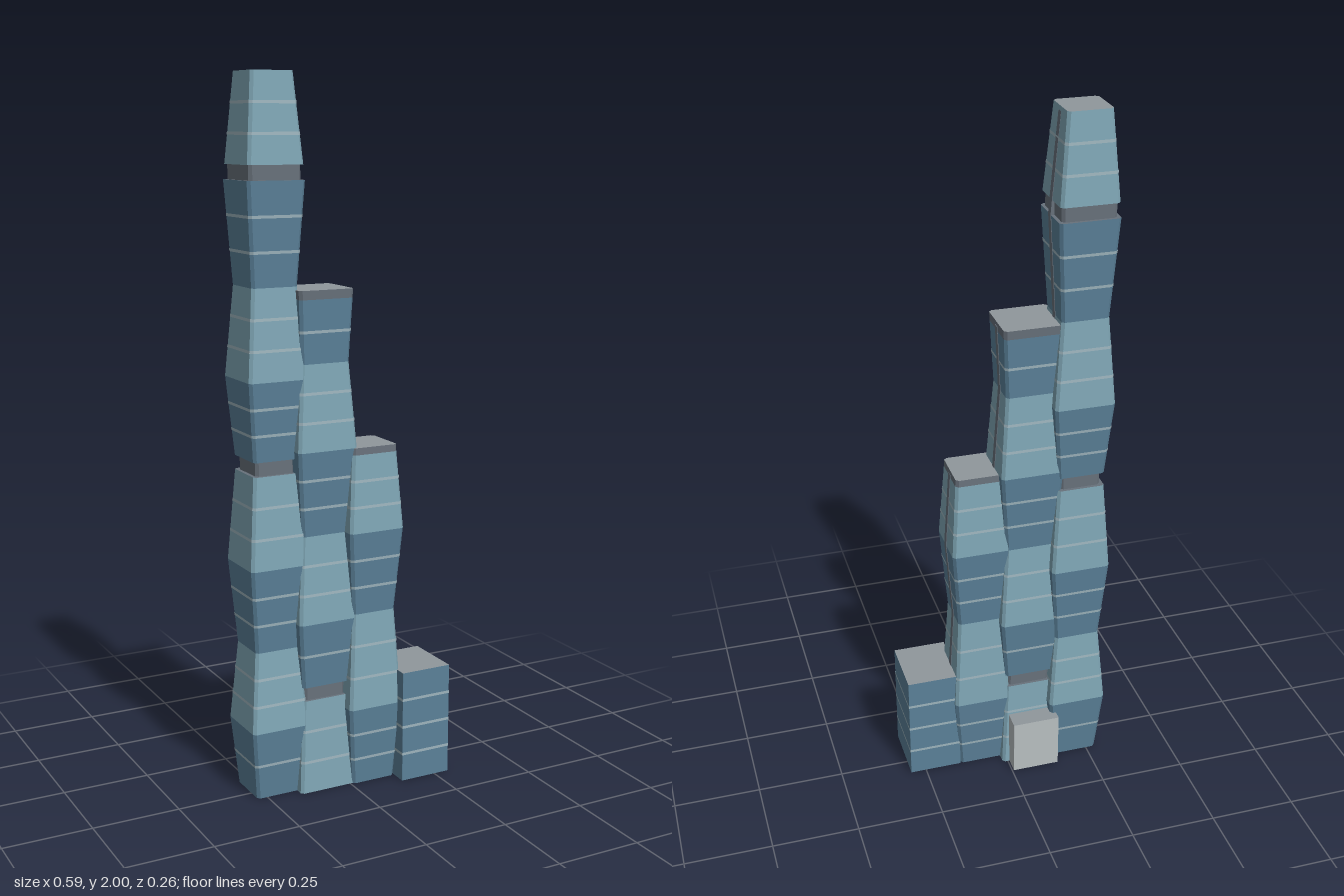
import * as THREE from 'three';
import { mergeGeometries } from 'three/addons/utils/BufferGeometryUtils.js';

const material = (color) => new THREE.MeshStandardMaterial({ color, flatShading: true, side: THREE.DoubleSide });
const MATS = {
  darkGlass: material(0x5b8199),
  lightGlass: material(0x7fa6b5),
  recess: material(0x68717b),
  roof: material(0x90979c),
  floorLine: material(0x9db4bd),
  paleWall: material(0xb9c0c2),
};

// Chamfered rectangle, counter-clockwise seen from above
function section(hx, hz, c) {
  return [
    [hx, hz - c], [hx, c - hz], [hx - c, -hz], [c - hx, -hz],
    [-hx, c - hz], [-hx, hz - c], [c - hx, hz], [hx - c, hz],
  ];
}

// Wall between two cross-sections
function loft(y0, ring0, y1, ring1) {
  const pos = [];
  ring0.forEach((a, i) => {
    const j = (i + 1) % ring0.length;
    const p = [a[0], y0, a[1]], q = [ring0[j][0], y0, ring0[j][1]];
    const r = [ring1[j][0], y1, ring1[j][1]], s = [ring1[i][0], y1, ring1[i][1]];
    pos.push(...p, ...q, ...r, ...p, ...r, ...s);
  });
  const g = new THREE.BufferGeometry();
  g.setAttribute('position', new THREE.Float32BufferAttribute(pos, 3));
  g.computeVertexNormals();
  return g;
}

function cap(y, ring) {
  const shape = new THREE.Shape(ring.map(([x, z]) => new THREE.Vector2(x, -z)));
  return new THREE.ShapeGeometry(shape).rotateX(-Math.PI / 2).translate(0, y, 0);
}

// Profile rows: [height, half width, material of the wall up to the next row]
function tower(name, x, z, dz, chamfer, profile, strip) {
  const group = new THREE.Group();
  group.name = name;
  group.position.set(x, 0, z);
  const parts = {};
  const add = (key, g) => (parts[key] ??= []).push(g);
  const ring = (h, grow = 0) => section(h + grow, h + dz + grow, chamfer);

  for (let i = 0; i < profile.length - 1; i++) {
    const [y0, h0, key] = profile[i];
    const [y1, h1] = profile[i + 1];
    add(key, loft(y0, ring(h0), y1, ring(h1)));
    if (!key.endsWith('Glass')) continue;
    // Thin floor lines spaced over each glass storey block
    const n = Math.max(2, Math.round((y1 - y0) / 0.083));
    for (let k = 1; k < n; k++) {
      const at = (y) => ring(h0 + (h1 - h0) * (y - y0) / (y1 - y0), 0.0008);
      const y = y0 + (y1 - y0) * k / n;
      add('floorLine', loft(y - 0.004, at(y - 0.004), y + 0.004, at(y + 0.004)));
    }
  }
  const [top, half] = profile[profile.length - 1];
  add('roof', cap(top, ring(half)));

  for (const key in parts) {
    const mesh = new THREE.Mesh(mergeGeometries(parts[key].map((g) => {
      const flat = g.index ? g.toNonIndexed() : g;
      flat.deleteAttribute('uv');
      return flat;
    })), MATS[key]);
    mesh.name = key;
    group.add(mesh);
  }

  // Vertical service strip that follows the +x facade
  if (strip) {
    const line = profile.filter((p, i) => p[2] !== 'recess' || profile[i - 1]?.[2] !== 'recess');
    const outer = line.map(([y, h]) => new THREE.Vector2(h + 0.0015, Math.min(y, top - 0.012)));
    const inner = line.map(([y, h]) => new THREE.Vector2(h - 0.012, Math.min(y, top - 0.012))).reverse();
    const g = new THREE.ExtrudeGeometry(new THREE.Shape([...outer, ...inner]), { depth: 0.02, bevelEnabled: false });
    const mesh = new THREE.Mesh(g.translate(0, 0, -0.01), MATS.recess);
    mesh.name = 'serviceStrip';
    group.add(mesh);
  }
  return group;
}

export function createModel() {
  const model = new THREE.Group();
  model.name = 'steppedTower';
  const D = 'darkGlass', L = 'lightGlass', R = 'recess';

  // Tall tower with two recessed storeys
  model.add(tower('tallTower', -0.211, -0.023, 0, 0.008, [
    [0, 0.068, D], [0.2, 0.086, L], [0.43, 0.067, D], [0.67, 0.086, L],
    [0.93, 0.068, R], [0.93, 0.058, R], [0.97, 0.058, R], [0.97, 0.068, D],
    [1.19, 0.086, L], [1.44, 0.067, D],
    [1.72, 0.084, R], [1.72, 0.075, R], [1.76, 0.075, R], [1.76, 0.081, L], [2, 0.061],
  ], true));

  // Middle tower with one recessed storey
  model.add(tower('middleTower', -0.07, -0.005, -0.006, 0.008, [
    [0, 0.086, L], [0.27, 0.071, R], [0.27, 0.063, R], [0.31, 0.063, R], [0.31, 0.073, D],
    [0.5, 0.089, L], [0.75, 0.072, D], [0.99, 0.09, L], [1.23, 0.073, D],
    [1.405, 0.081, R], [1.43, 0.082],
  ], true));

  // Low tower
  model.add(tower('lowTower', 0.073, 0.014, 0, 0.008, [
    [0, 0.067, D], [0.23, 0.084, L], [0.51, 0.067, D], [0.75, 0.085, L],
    [0.97, 0.07, R], [0.99, 0.069],
  ], true));

  // Side block and rear annex
  model.add(tower('sideBlock', 0.219, 0.0375, 0.0135, 0.0005, [[0, 0.077, D], [0.328, 0.077]], false));
  model.add(tower('rearAnnex', -0.075, -0.092, -0.03, 0.0005, [[0, 0.07, 'paleWall'], [0.17, 0.07]], false));
  return model;
}
